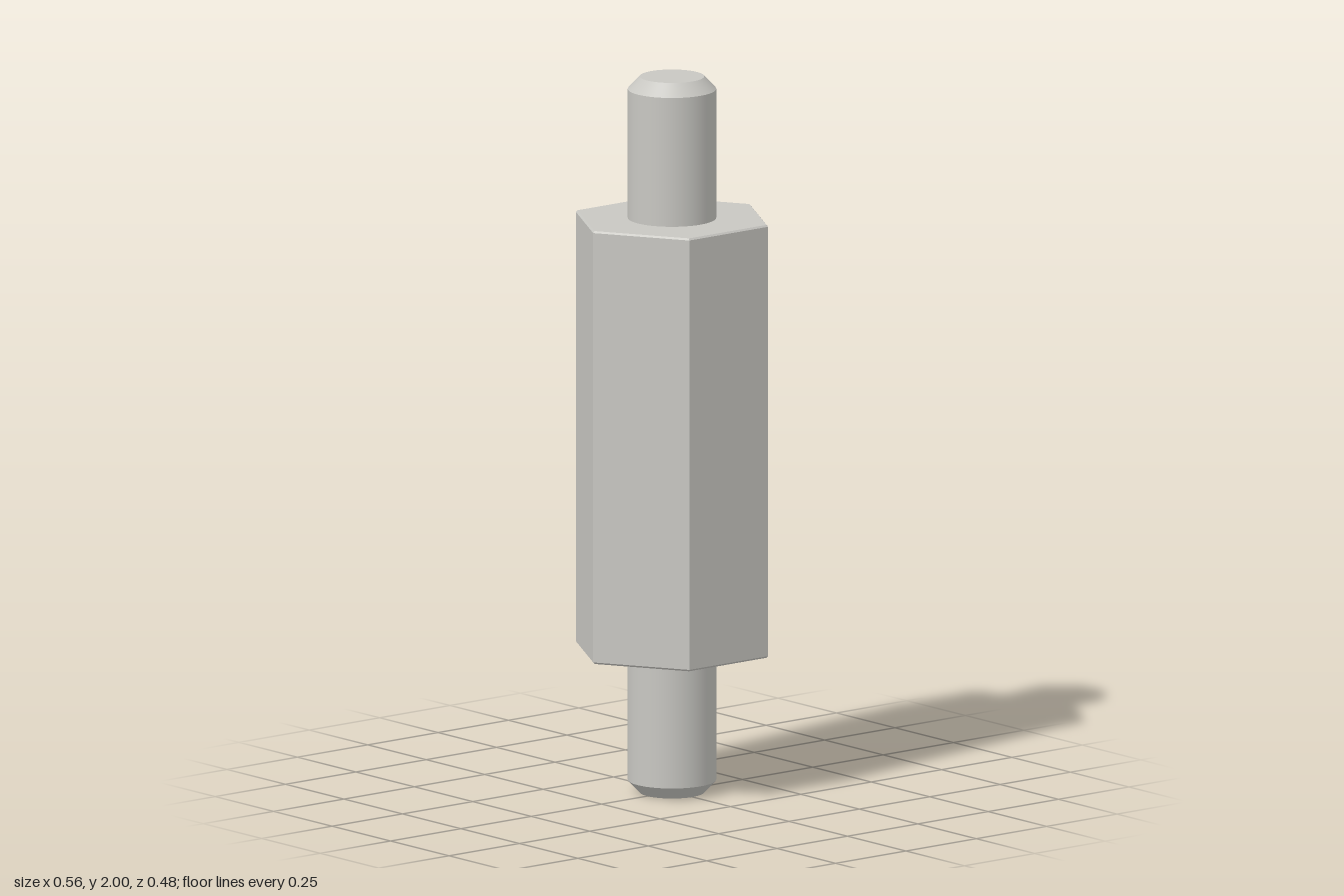
import * as THREE from 'three';

export function createModel() {
  const model = new THREE.Group();
  model.name = 'hexStandoff';

  const steel = new THREE.MeshStandardMaterial({ color: 0xc8c7c2 });
  steel.name = 'brushed steel';
  const hexSteel = steel.clone(); // same colour, faceted for the hexagon
  hexSteel.flatShading = true;

  const bodyHalf = 0.605, hexRadius = 0.28, hexBevel = 0.005;
  const studRadius = 0.121, tipRadius = 0.088, chamfer = 0.035;

  // Tapered section between two heights; capped only where asked
  function section(name, parent, rBottom, rTop, y0, y1, sides, open) {
    const hex = sides === 6;
    const geometry = new THREE.CylinderGeometry(
      rTop, rBottom, y1 - y0, sides, 1, open, hex ? Math.PI / 6 : 0);
    const mesh = new THREE.Mesh(geometry, hex ? hexSteel : steel);
    mesh.name = name;
    mesh.position.y = (y0 + y1) / 2;
    parent.add(mesh);
  }

  // Hexagonal body, corners on the x axis
  const body = new THREE.Group();
  body.name = 'hexBody';
  body.position.y = 1;
  const flat = bodyHalf - hexBevel;
  section('hexSides', body, hexRadius, hexRadius, -flat, flat, 6, true);
  model.add(body);

  // Matching end bevel and threaded-end stud, turned over for the bottom
  for (const end of ['top', 'bottom']) {
    const group = new THREE.Group();
    group.name = end + 'End';
    group.position.y = 1;
    if (end === 'bottom') group.rotation.x = Math.PI;
    section('hexBevel', group, hexRadius, hexRadius - hexBevel, flat, bodyHalf, 6, false);
    section('stud', group, studRadius, studRadius, bodyHalf, 1 - chamfer, 64, true);
    section('studChamfer', group, studRadius, tipRadius, 1 - chamfer, 1, 64, false);
    model.add(group);
  }

  return model;
}
